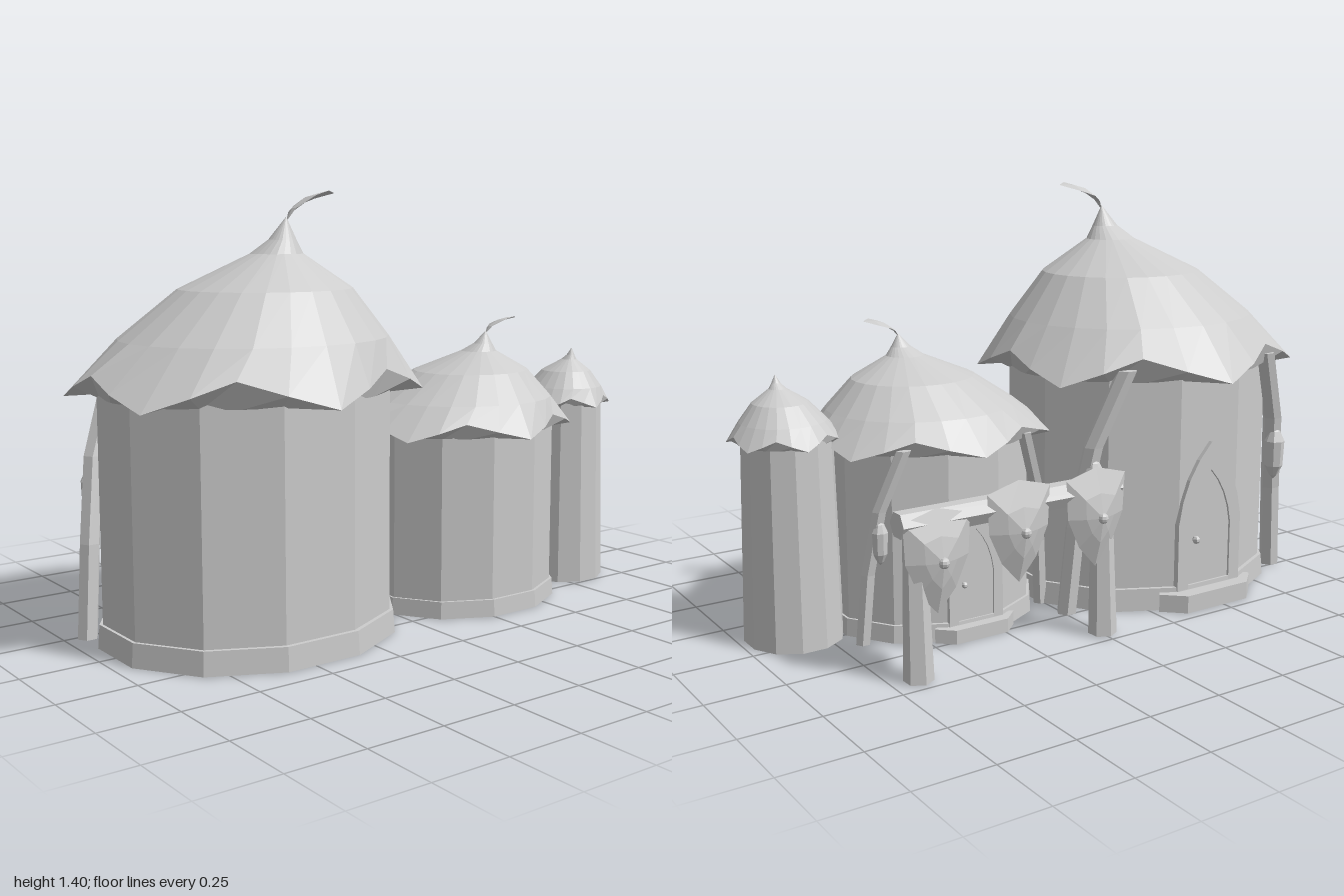
import * as THREE from 'three';

const stone = new THREE.MeshStandardMaterial({ color: 0xcccccc, side: THREE.DoubleSide });
stone.name = 'plain grey';
const V = (x, y, z) => new THREE.Vector3(x, y, z);

// faceted mesh
function part(name, geometry, parent, x = 0, y = 0, z = 0) {
  const g = geometry.index ? geometry.toNonIndexed() : geometry;
  g.computeVertexNormals();
  const mesh = new THREE.Mesh(g, stone);
  mesh.name = name;
  mesh.position.set(x, y, z);
  parent.add(mesh);
  return mesh;
}

// skin between rings of equal point count, lowest ring first
function loft(rings) {
  const pos = [];
  const tri = (a, b, c) => {
    if (new THREE.Triangle(a, b, c).getArea() > 1e-9) [a, b, c].forEach(p => pos.push(p.x, p.y, p.z));
  };
  for (let r = 0; r + 1 < rings.length; r++) {
    const lo = rings[r], up = rings[r + 1], n = lo.length;
    for (let i = 0; i < n; i++) {
      const j = (i + 1) % n;
      tri(lo[i], up[i], lo[j]);
      tri(up[i], up[j], lo[j]);
    }
  }
  const g = new THREE.BufferGeometry();
  g.setAttribute('position', new THREE.Float32BufferAttribute(pos, 3));
  return g;
}

function ring(n, rx, rz, x, y, z) {
  return Array.from({ length: n }, (_, i) => {
    const a = (i / n) * Math.PI * 2;
    return V(x + rx * Math.cos(a), y, z + rz * Math.sin(a));
  });
}

// six-petalled roof with a leaning tip; y = 0 at the eaves
function addRoof(parent, x, y, z, sx, sy, sz, lean = 1) {
  // notch, petal side, petal tip, petal side: [x radius, height, z radius]
  const petal = [[0.53, 0.088, 0.43], [0.552, 0.045, 0.466], [0.583, 0, 0.505], [0.552, 0.045, 0.466]];
  const eave = ring(24, 1, 1, 0, 0, 0).map((p, i) => {
    const [rx, h, rz] = petal[i % 4];
    return V(p.x * rx, h, p.z * rz);
  });
  const g = loft([
    ring(24, 0.47, 0.405, 0, 0.004, 0),
    eave,
    ring(24, 0.435, 0.39, 0.02 * lean, 0.175, 0.015),
    ring(24, 0.28, 0.255, 0.05 * lean, 0.325, 0.035),
    ring(24, 0.085, 0.08, 0.068 * lean, 0.432, 0.07),
    ring(24, 0.045, 0.04, 0.077 * lean, 0.475, 0.09),
    ring(24, 0, 0, 0.085 * lean, 0.545, 0.1),
  ]);
  g.scale(sx, sy, sz);
  part('roof', g, parent, x, y, z);
}

// curled leaf on the roof tip, a thin blade tilted to one side
function addLeaf(parent, x, y, z, s, sy) {
  const section = (cx, cy, cz, w, t) => [
    V(cx + w * 0.2, cy + w * 0.3, cz + w), V(cx, cy + t, cz),
    V(cx - w * 0.2, cy - w * 0.35, cz - w), V(cx, cy - t, cz)];
  const g = loft([
    section(0, 0, 0, 0.001, 0.001),
    section(0.02, 0.035, 0.003, 0.016, 0.006),
    section(0.06, 0.066, 0.016, 0.048, 0.008),
    section(0.1, 0.08, 0.028, 0.046, 0.006),
    section(0.147, 0.086, 0.04, 0.004, 0.001),
  ]);
  g.scale(s, sy, s);
  part('roofLeaf', g, parent, x, y, z);
}

function twelveSided(top, bottom, h, squash, open = false) {
  const g = new THREE.CylinderGeometry(top, bottom, h, 12, 1, open, Math.PI / 12);
  g.translate(0, h / 2, 0);
  g.scale(1, 1, squash);
  return g;
}

// pointed arch outline
function arch(P, w, shoulder, h) {
  const s = new P();
  s.moveTo(-w, 0);
  s.lineTo(w, 0);
  s.lineTo(w, shoulder);
  s.quadraticCurveTo(w * 0.85, shoulder + (h - shoulder) * 0.6, 0, h);
  s.quadraticCurveTo(-w * 0.85, shoulder + (h - shoulder) * 0.6, -w, shoulder);
  s.closePath();
  return s;
}
const extrude = (shape, depth) =>
  new THREE.ExtrudeGeometry(shape, { depth, bevelEnabled: false, curveSegments: 4 });

function addDoor(hut) {
  const door = new THREE.Group();
  door.name = 'door';
  door.rotation.y = Math.PI;
  const frame = arch(THREE.Shape, 0.135, 0.29, 0.56);
  frame.holes.push(arch(THREE.Path, 0.09, 0.27, 0.465));
  part('doorFrame', extrude(frame, 0.035), door, 0, 0, 0.38);
  part('doorPanel', extrude(arch(THREE.Shape, 0.095, 0.27, 0.475), 0.027), door, 0, 0, 0.38);
  part('doorKnob', new THREE.SphereGeometry(0.014, 6, 5), door, -0.06, 0.23, 0.416);
  hut.add(door);
  // step hugging the wall
  const step = new THREE.Shape([[-0.15, 0.34], [0.15, 0.34], [0.2, 0.4], [0.13, 0.465],
    [-0.13, 0.465], [-0.2, 0.4]].map(p => new THREE.Vector2(...p)));
  const g = extrude(step, 0.06);
  g.rotateX(-Math.PI / 2);
  part('doorStep', g, hut);
}

// bent prop under the eaves with a hanging lantern
function addProp(hut, side) {
  const path = [[0.3, 0.82, -0.335], [0.395, 0.57, -0.285], [0.435, 0.3, -0.245], [0.458, 0, -0.23]];
  const rings = path.reverse().map(([x, y, z]) => ring(6, 0.034, 0.034, side * x, y, z));
  const end = r => {
    const c = r.reduce((s, p) => s.add(p), V(0, 0, 0)).divideScalar(6);
    return r.map(() => c);
  };
  part('prop', loft([end(rings[0]), ...rings, end(rings[3])]), hut);
  const lantern = [[0, -0.1], [0.014, -0.085], [0.032, -0.05], [0.036, 0.04], [0.02, 0.075], [0, 0.095]];
  part('lantern', new THREE.LatheGeometry(lantern.map(p => new THREE.Vector2(...p)), 8),
    hut, side * 0.4, 0.445, -0.295);
}

function addHut(root, name, x, z, sxz, sy, roofY, roofScaleY) {
  const hut = new THREE.Group();
  hut.name = name;
  hut.position.set(x, 0, z);
  hut.scale.set(sxz, sy, sxz);
  part('wall', twelveSided(0.48, 0.48, 0.79, 0.862), hut);
  part('plinth', twelveSided(0.49, 0.496, 0.075, 0.875), hut);
  addDoor(hut);
  addProp(hut, 1);
  addProp(hut, -1);
  root.add(hut);
  addRoof(root, x, roofY, z, sxz, roofScaleY, sxz);
  addLeaf(root, x + 0.085 * sxz, roofY + 0.53 * roofScaleY, z + 0.1 * sxz, sxz, roofScaleY);
}

// rack with three shields behind the huts
function addRack(root) {
  const rack = new THREE.Group();
  rack.name = 'shieldRack';
  const beam = new THREE.CylinderGeometry(0.042, 0.042, 0.78, 6);
  beam.rotateZ(Math.PI / 2);
  part('rackBeam', beam, rack, 0.33, 0.478, -0.425);
  for (const x of [-0.005, 0.665]) {
    const post = new THREE.CylinderGeometry(0.034, 0.046, 0.46, 6);
    part('rackPost', post, rack, x, 0.23, -0.432).rotation.x = 0.03;
  }
  const outline = [[0.112, 0.125], [0, 0.155], [-0.112, 0.125], [-0.105, 0],
    [-0.062, -0.095], [0, -0.165], [0.062, -0.095], [0.105, 0]];
  const layer = (s, h) => outline.map(([x, y]) => V(x * s, h, y * s));
  [[0.04, 0.402], [0.325, 0.405], [0.607, 0.365]].forEach(([x, y]) => {
    const g = loft([layer(0, 0), layer(1, 0), layer(0.5, 0.026), layer(0, 0.042)]);
    g.rotateX(-Math.PI / 2);
    part('shield', g, rack, x, y, -0.456);
    part('shieldBoss', new THREE.SphereGeometry(0.017, 8, 6), rack, x, y, -0.496);
  });
  root.add(rack);
}

export function createModel() {
  const root = new THREE.Group();
  root.name = 'village';
  addHut(root, 'largeHut', -0.47, 0, 1, 1, 0.77, 1);
  addHut(root, 'smallHut', 0.34, 0.07, 0.73, 0.76, 0.595, 0.61);
  // slim tower, open underneath
  part('towerWall', twelveSided(0.142, 0.158, 0.66, 1.04, true), root, 0.825, 0, 0.087);
  addRoof(root, 0.832, 0.637, 0.087, 0.312, 0.375, 0.345, 0.4);
  addRack(root);
  return root;
}
